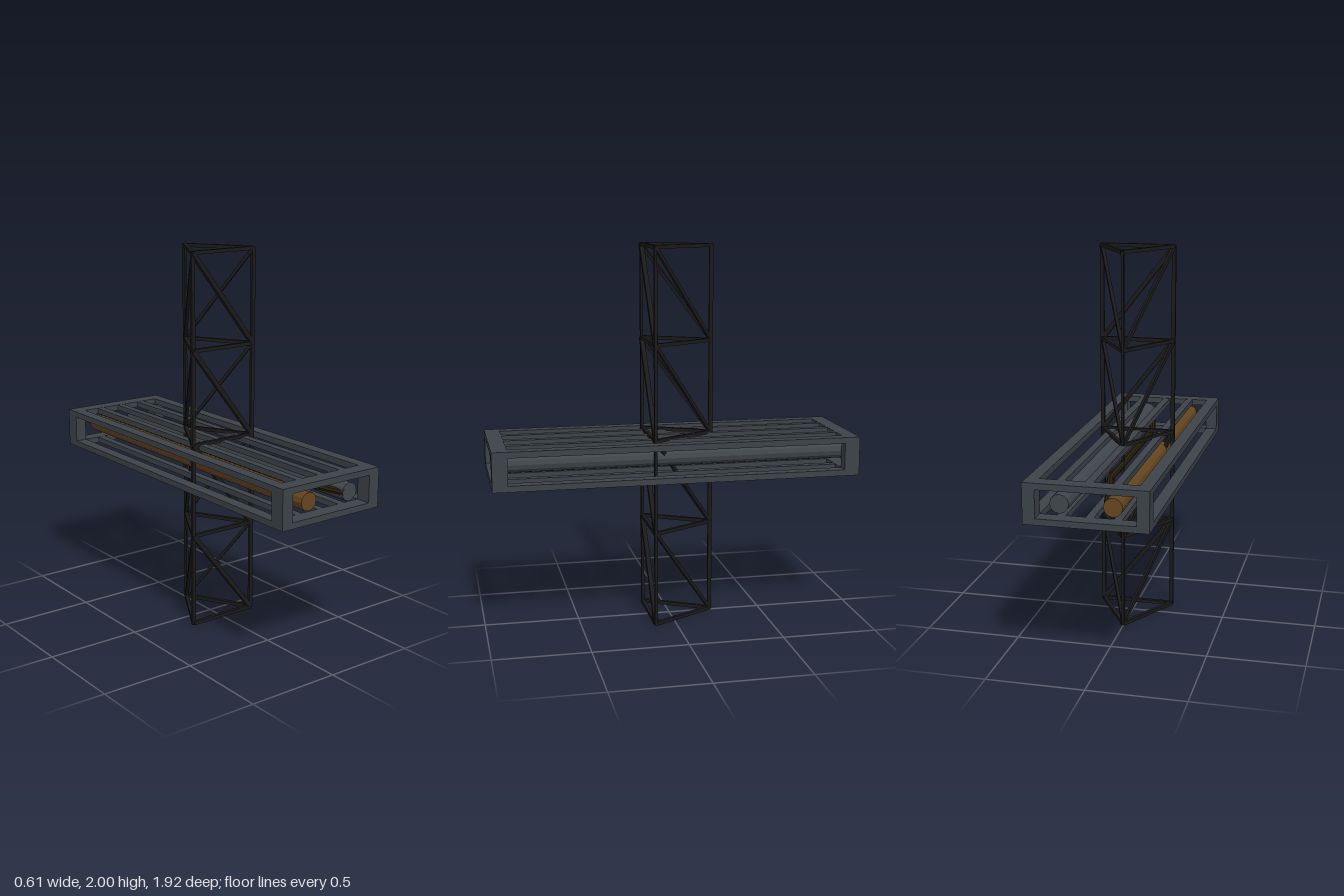
import * as THREE from 'three';

export function createModel() {
  const mat = (name, color) => {
    const m = new THREE.MeshStandardMaterial({ color, flatShading: true });
    m.name = name;
    return m;
  };
  const steel = mat('mastSteel', 0x1a1a1a);
  const frameGrey = mat('frameGrey', 0x3d4349);
  const pipeGrey = mat('pipeGrey', 0x40474b);
  const bronze = mat('bronze', 0x664520);
  const darkBronze = mat('darkBronze', 0x2a200a);

  const model = new THREE.Group();
  const group = (name) => {
    const g = new THREE.Group();
    g.name = name;
    model.add(g);
    return g;
  };
  const box = (parent, name, m, size, pos) => {
    const mesh = new THREE.Mesh(new THREE.BoxGeometry(...size), m);
    mesh.name = name;
    mesh.position.set(...pos);
    parent.add(mesh);
    return mesh;
  };
  // Square bar running between two points
  const bar = (parent, name, a, b, w) => {
    const mesh = box(parent, name, steel, [w, w, a.distanceTo(b)], [0, 0, 0]);
    mesh.position.copy(a).add(b).multiplyScalar(0.5);
    mesh.lookAt(b);
    parent.add(mesh);
  };

  // Triangular lattice mast: two front legs and one back leg
  const mast = group('latticeMast');
  const legs = [[-0.193, 0.111], [0.193, 0.111], [0, -0.225]];
  const at = (i, y) => new THREE.Vector3(legs[i][0], y, legs[i][1]);
  const bottom = 0.01, step = 0.495, bays = 4;
  legs.forEach(([x, z], i) => {
    const size = i < 2 ? [0.021, 1.99, 0.015] : [0.013, 1.99, 0.021];
    box(mast, 'mastLeg', steel, size, [x, 1, z]);
  });
  for (let k = 0; k <= bays; k++) {
    const y = bottom + k * step;
    for (let i = 0; i < 3; i++) bar(mast, 'crossBar', at(i, y), at((i + 1) % 3, y), 0.019);
    if (k === bays) continue;
    bar(mast, 'frontBrace', at(0, y + step), at(1, y), 0.024);
    for (const i of [0, 1]) bar(mast, 'sideBrace', at(i, y + step), at(2, y), 0.017);
  }

  // Open cage: top and bottom grilles joined by corner posts
  const cage = group('cageFrame');
  for (const y of [0.984, 0.811]) {
    for (const s of [-1, 1]) {
      box(cage, 'endRail', frameGrey, [0.61, 0.032, 0.08], [0, y, s * 0.92]);
      box(cage, 'sideRail', frameGrey, [0.062, 0.032, 1.76], [s * 0.274, y, 0]);
    }
    for (const x of [-0.137, 0, 0.137]) box(cage, 'slat', frameGrey, [0.04, 0.03, 1.76], [x, y, 0]);
  }
  for (const sx of [-1, 1]) for (const sz of [-1, 1])
    box(cage, 'cornerPost', frameGrey, [0.062, 0.142, 0.08], [sx * 0.274, 0.8975, sz * 0.92]);

  // Long pipes inside the cage
  const pipes = group('pipes');
  for (const [name, x, m] of [['bronzePipe', -0.128, bronze], ['greyPipe', 0.13, pipeGrey]]) {
    const geo = new THREE.CylinderGeometry(0.047, 0.047, 1.88, 12).rotateX(Math.PI / 2);
    const mesh = new THREE.Mesh(geo, m);
    mesh.name = name;
    mesh.position.set(x, 0.902, 0);
    pipes.add(mesh);
  }

  // Thin link pipe: straight in the middle, bent to each large pipe at its ends
  const path = new THREE.CurvePath();
  const pts = [[-0.1, -0.94], [0, -0.49], [0, 0.49], [0.1, 0.94]].map(([x, z]) => new THREE.Vector3(x, 0.902, z));
  for (let i = 0; i < 3; i++) path.add(new THREE.LineCurve3(pts[i], pts[i + 1]));
  const link = new THREE.Mesh(new THREE.TubeGeometry(path, 40, 0.017, 8), darkBronze);
  link.name = 'linkPipe';
  pipes.add(link);

  return model;
}
